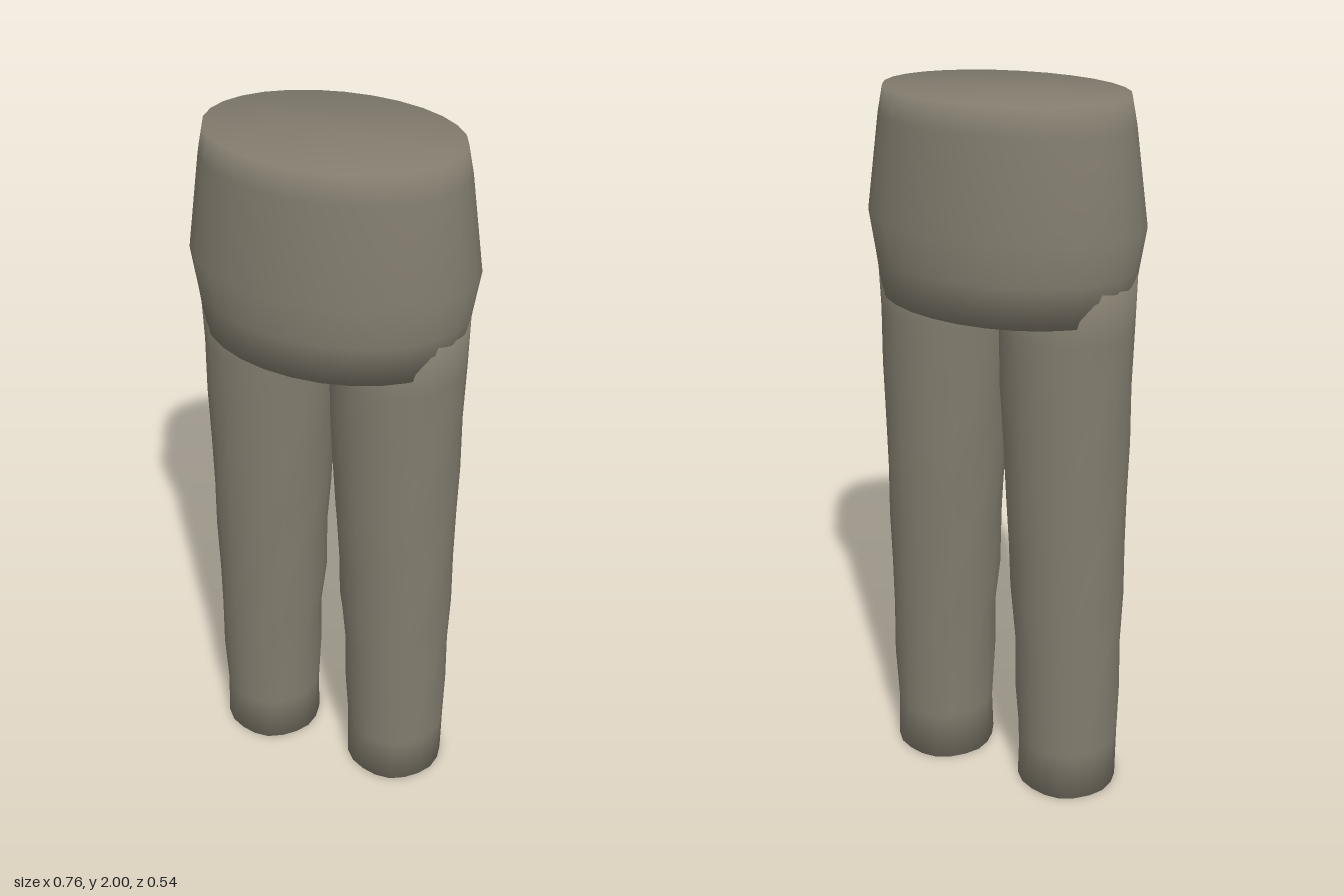
import * as THREE from 'three';

// Closed smooth loft through elliptical rings: [y, centreX, radiusX, radiusZ]
function loft(rings, sides, wobble = 0) {
  const pos = [], index = [];
  rings.forEach(([y, cx, rx, rz], i) => {
    for (let j = 0; j < sides; j++) {
      const a = (j / sides) * Math.PI * 2;
      const k = 1 + wobble * Math.sin(i * 2.3 + j * 1.9);
      pos.push(cx + Math.cos(a) * rx * k, y, Math.sin(a) * rz * k);
    }
  });
  const last = rings.length - 1;
  const bottom = pos.length / 3, top = bottom + 1;
  pos.push(rings[0][1], rings[0][0], 0, rings[last][1], rings[last][0], 0);
  for (let j = 0; j < sides; j++) {
    const n = (j + 1) % sides;
    for (let i = 0; i < last; i++) {
      const a = i * sides + j, b = i * sides + n;
      index.push(a, a + sides, b, b, a + sides, b + sides);
    }
    index.push(bottom, j, n, top, last * sides + n, last * sides + j);
  }
  const geometry = new THREE.BufferGeometry();
  geometry.setAttribute('position', new THREE.Float32BufferAttribute(pos, 3));
  geometry.setIndex(index);
  geometry.computeVertexNormals();
  return geometry;
}

export function createModel() {
  const group = new THREE.Group();
  group.name = 'trousers';
  const cloth = new THREE.MeshStandardMaterial({ color: 0x827c6e });
  cloth.name = 'grey brown cloth';

  // Hips: oval barrel, widest a third of the way up
  const hips = new THREE.Mesh(loft([
    [1.46, 0, 0.348, 0.253],
    [1.57, 0, 0.363, 0.262],
    [1.68, 0, 0.38, 0.272],
    [1.93, 0, 0.343, 0.247],
    [2.0, 0, 0.328, 0.237],
  ], 28), cloth);
  hips.name = 'hips';
  group.add(hips);

  // Legs: slightly uneven tubes, tapering on the inner side
  const legRings = [
    [0, 0.209, 0.147, 0.147],
    [0.15, 0.209, 0.145, 0.145],
    [0.31, 0.206, 0.151, 0.152],
    [0.47, 0.204, 0.152, 0.152],
    [0.62, 0.197, 0.16, 0.158],
    [0.78, 0.195, 0.162, 0.16],
    [0.93, 0.189, 0.168, 0.167],
    [1.09, 0.186, 0.171, 0.17],
    [1.25, 0.182, 0.176, 0.174],
    [1.41, 0.18, 0.179, 0.178],
    [1.57, 0.179, 0.181, 0.181],
  ];
  for (const [name, side] of [['leftLeg', 1], ['rightLeg', -1]]) {
    const rings = legRings.map(([y, cx, rx, rz]) => [y, cx * side, rx, rz]);
    const leg = new THREE.Mesh(loft(rings, 20, 0.012), cloth);
    leg.name = name;
    group.add(leg);
  }
  return group;
}
